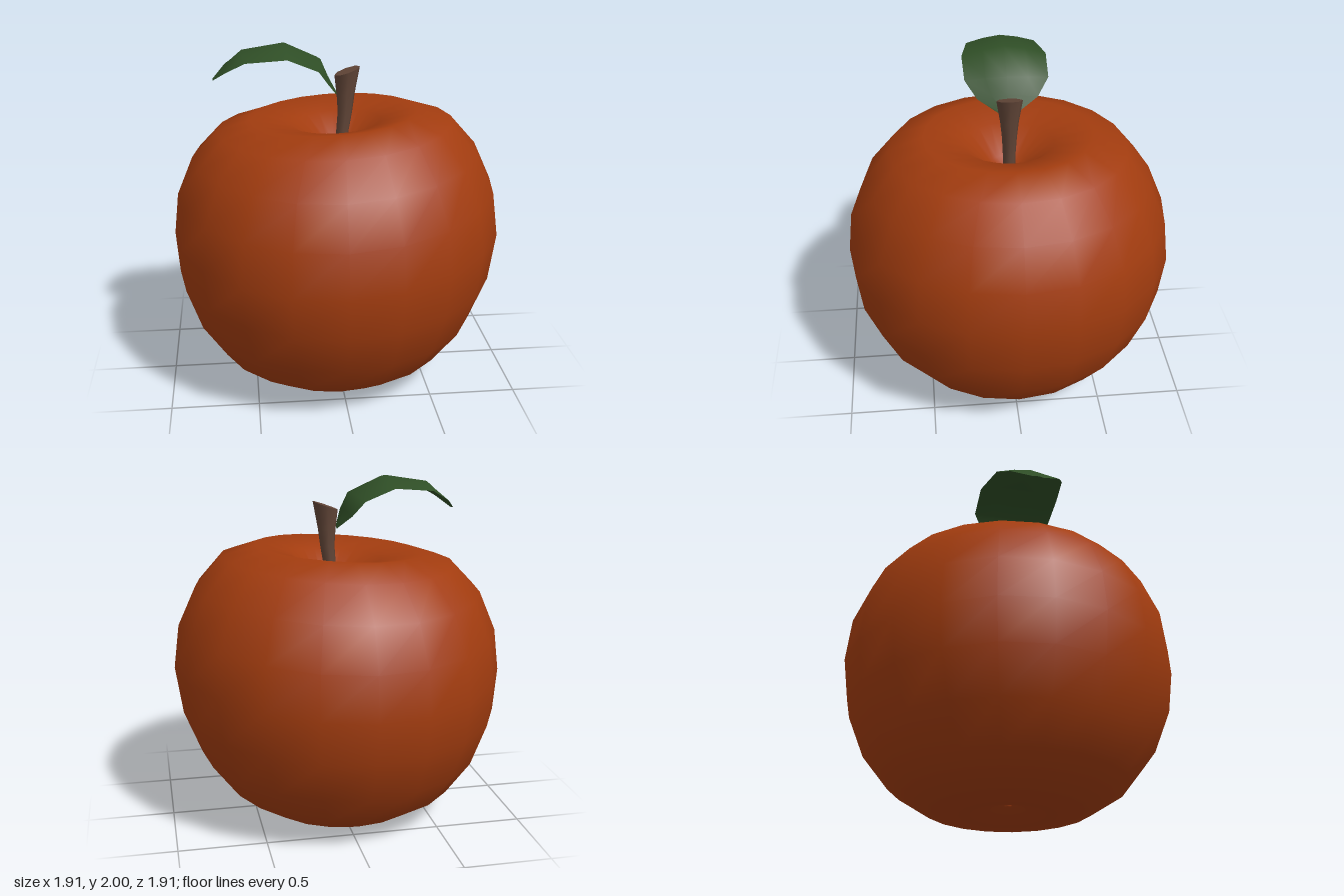
import * as THREE from 'three';

// Smooth skin from a grid of points; rows run along v, columns along u.
function skin(rows, closed) {
  const n = rows[0].length, index = [];
  for (let i = 0; i < rows.length - 1; i++) {
    for (let j = 0; j < (closed ? n : n - 1); j++) {
      const k = (j + 1) % n;
      const a = i * n + j, b = i * n + k, c = a + n, d = b + n;
      index.push(a, b, d, a, d, c);
    }
  }
  const geo = new THREE.BufferGeometry();
  geo.setAttribute('position', new THREE.Float32BufferAttribute(rows.flat(2), 3));
  geo.setIndex(index);
  geo.computeVertexNormals();
  return geo;
}

// Ring: radius, height, x centre, upward bend of both sides, tilt towards +x.
function ring([r, y, cx, bend = 0, tilt = 0], sides) {
  return Array.from({ length: sides }, (_, j) => {
    const a = (j / sides) * Math.PI * 2, c = Math.cos(a);
    return [cx + r * c + 0.45 * bend * c * c, y + bend * c * c + tilt * c, -r * Math.sin(a)];
  });
}

export function createModel() {
  const red = new THREE.MeshStandardMaterial({ color: 0xa23c0f });
  red.name = 'appleSkin';
  const brown = new THREE.MeshStandardMaterial({ color: 0x624638 });
  brown.name = 'stemBrown';
  const green = new THREE.MeshStandardMaterial({ color: 0x2f4e26, side: THREE.DoubleSide });
  green.name = 'leafGreen';

  const group = new THREE.Group();
  group.name = 'apple';
  const add = (name, geo, mat) => {
    const mesh = new THREE.Mesh(geo, mat);
    mesh.name = name;
    group.add(mesh);
  };

  // Fruit body, from the bottom dimple up and into the top hollow
  const body = [
    [0, 0.1, -0.03],
    [0.03, 0.09, -0.03],
    [0.1, 0.04, -0.03],
    [0.24, 0.003, -0.03],
    [0.48, 0.04, -0.03],
    [0.68, 0.168, -0.03, 0.005],
    [0.83, 0.36, -0.03, 0.025],
    [0.925, 0.6, -0.03, 0.04],
    [0.955, 0.84, -0.03, 0.065, 0.015],
    [0.925, 1.09, -0.03, 0.06, 0.02],
    [0.828, 1.32, -0.03, 0.05, 0.02],
    [0.68, 1.51, -0.02, 0.02, 0.03],
    [0.485, 1.59, -0.02, 0, 0.03],
    [0.26, 1.54, 0, 0, 0.015],
    [0.11, 1.41, 0.02],
    [0, 1.35, 0.03],
  ];
  add('fruit', skin(body.map(p => ring(p, 20)), true), red);

  // Dried blossom tip inside the bottom dimple
  const tip = [[0, 0.06, -0.03], [0.02, 0.062, -0.03], [0.025, 0.11, -0.03]];
  add('blossomTip', skin(tip.map(p => ring(p, 8)), true), red);

  // Stem, flaring to a slanted cut top (doubled ring keeps the rim sharp)
  const stem = [
    [0.034, 1.33, 0.03],
    [0.036, 1.48, 0.035],
    [0.042, 1.6, 0.05],
    [0.052, 1.7, 0.054, 0, 0.005],
    [0.073, 1.835, 0.062, 0, 0.025],
  ];
  add('stem', skin(stem.map(p => ring(p, 8)), true), brown);
  const cut = [[0.073, 1.835, 0.062, 0, 0.025], [0, 1.835, 0.062]];
  add('stemTop', skin(cut.map(p => ring(p, 8)), true), brown);

  // Leaf sections: midrib x, y, edge x, y, half width
  const leaf = [
    [0, 1.715, 0, 1.7, 0.02],
    [-0.05, 1.81, -0.06, 1.79, 0.17],
    [-0.09, 1.905, -0.12, 1.878, 0.235],
    [-0.29, 2.0, -0.29, 1.947, 0.24],
    [-0.54, 1.96, -0.52, 1.925, 0.2],
    [-0.62, 1.885, -0.63, 1.862, 0.145],
    [-0.7, 1.805, -0.7, 1.8, 0.03],
  ];
  const rows = leaf.map(([mx, my, ex, ey, w]) => [-1, -0.5, 0, 0.5, 1].map(t => {
    const f = Math.abs(t) ** 1.5;
    return [mx + (ex - mx) * f, my + (ey - my) * f, -t * w];
  }));
  // Reversed so the upper face is the front
  add('leaf', skin(rows.reverse(), false), green);

  return group;
}
